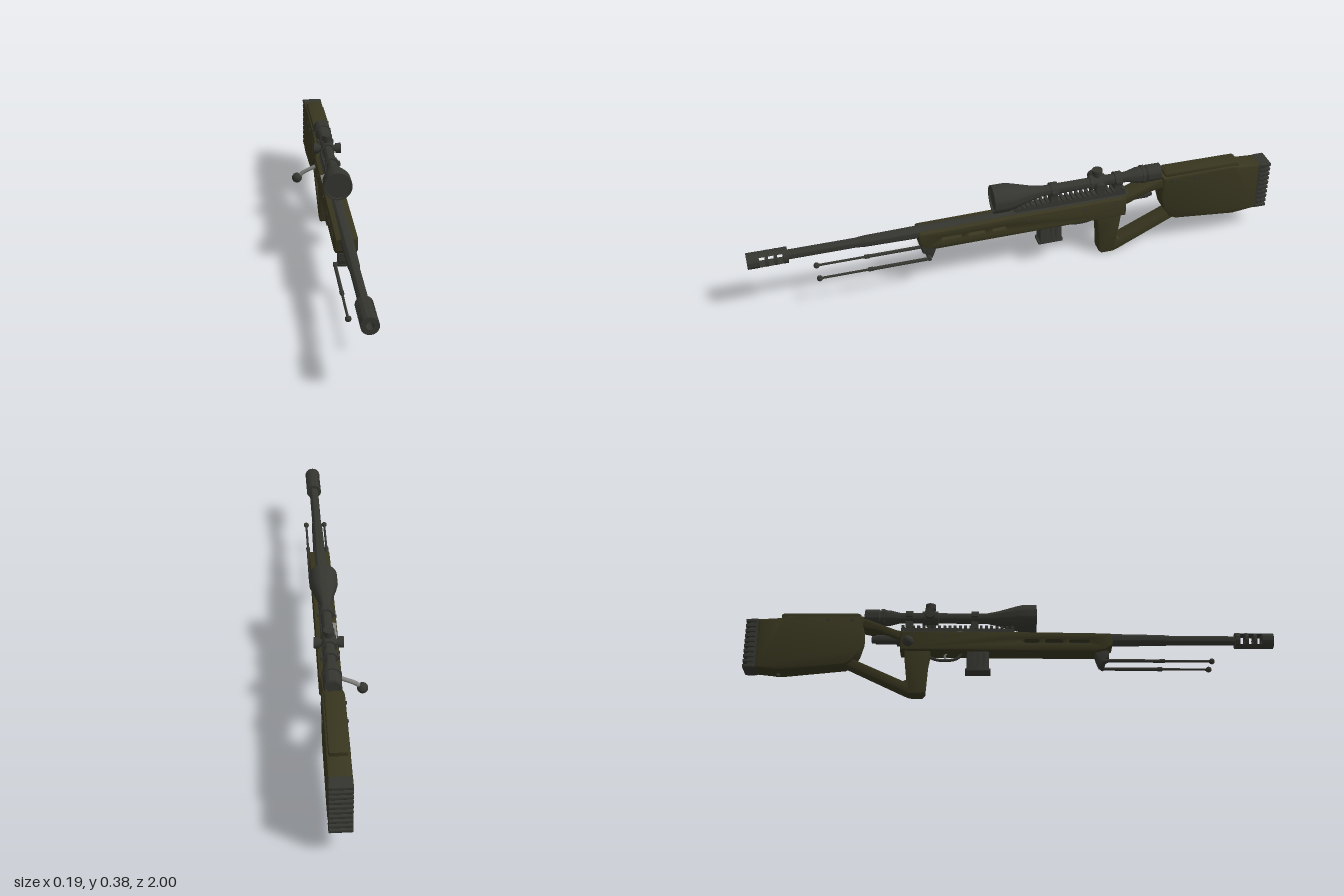
import * as THREE from 'three';
import { toCreasedNormals } from 'three/addons/utils/BufferGeometryUtils.js';
import { RoundedBoxGeometry } from 'three/addons/geometries/RoundedBoxGeometry.js';

const CX = 0.04; // centre plane of the rifle
const AXIS = 0.24; // bore height
const SCOPE = 0.328; // scope height

const olive = new THREE.MeshStandardMaterial({ color: 0x38361f });
olive.name = 'olive';
const metal = new THREE.MeshStandardMaterial({ color: 0x353530 });
metal.name = 'gunmetal';
const steel = new THREE.MeshStandardMaterial({ color: 0x80807e });
steel.name = 'steel';

export function createModel() {
  const root = new THREE.Group();

  const add = (name, geo, mat, x = 0, y = 0, z = 0) => {
    const m = new THREE.Mesh(geo, mat);
    m.name = name;
    m.position.set(x, y, z);
    root.add(m);
    return m;
  };
  const box = (name, mat, w, h, d, x, y, z, r = 0) =>
    add(name, r ? new RoundedBoxGeometry(w, h, d, 2, r) : new THREE.BoxGeometry(w, h, d), mat, x, y, z);

  // Turned part along z; points are [radius, z] from back to front
  const turned = (name, mat, pts, x, y, seg = 32) => {
    const g = new THREE.LatheGeometry(pts.map(p => new THREE.Vector2(...p)), seg);
    g.rotateX(Math.PI / 2);
    return add(name, toCreasedNormals(g, 0.6), mat, x, y);
  };
  const rod = (name, mat, r, z0, z1, x, y, seg = 24) =>
    turned(name, mat, [[0, z0], [r, z0], [r, z1], [0, z1]], x, y, seg);

  // Side profile of [z, y] points, extruded across x with a bevel
  const poly = pts => pts.map(p => new THREE.Vector2(...p));
  const side = (name, mat, pts, width, bevel = 0.005, holes = [], x = CX) => {
    const s = new THREE.Shape(poly(pts));
    for (const h of holes) s.holes.push(new THREE.Path(poly(h)));
    const g = new THREE.ExtrudeGeometry(s, {
      depth: width - 2 * bevel, bevelEnabled: bevel > 0, bevelThickness: bevel,
      bevelSize: bevel, bevelOffset: -bevel, bevelSegments: 2,
    });
    g.translate(0, 0, bevel - width / 2);
    g.rotateY(-Math.PI / 2);
    return add(name, toCreasedNormals(g, 0.5), mat, x);
  };

  // Barrel and receiver
  turned('barrel', metal, [[0, -0.1], [0.024, -0.1], [0.024, 0.36], [0.021, 0.58], [0.018, 0.61],
    [0.018, 0.86], [0, 0.86]], CX, AXIS);
  rod('receiver', metal, 0.028, -0.43, 0.02, CX, AXIS);
  rod('boltBody', metal, 0.018, -0.51, -0.42, CX, AXIS - 0.004);
  rod('boltCap', metal, 0.014, -0.525, -0.5, CX, AXIS - 0.004);

  // Muzzle brake: rings joined by top and bottom caps, open at the sides
  const ring = (z0, z1) => turned('muzzleRing', metal,
    [[0.013, z0], [0.03, z0], [0.03, z1], [0.013, z1], [0.013, z0]], CX, AXIS);
  [[0.855, 0.872], [0.893, 0.904], [0.925, 0.936], [0.957, 1]].forEach(r => ring(...r));
  for (const a of [Math.PI / 2, -Math.PI / 2]) {
    const cap = new THREE.Shape();
    cap.absarc(0, 0, 0.0295, a - 0.75, a + 0.75, false);
    cap.closePath();
    const g = new THREE.ExtrudeGeometry(cap, { depth: 0.11, bevelEnabled: false, curveSegments: 10 });
    add('muzzleCap', toCreasedNormals(g, 0.5), metal, CX, AXIS, 0.86);
  }

  // Chassis with cooling slots
  const slot = (z0, z1) => [[z0, 0.217], [z0 + 0.005, 0.211], [z1 - 0.005, 0.211], [z1, 0.217],
    [z1 - 0.005, 0.223], [z0 + 0.005, 0.223]];
  side('chassis', olive, [[-0.415, 0.178], [0.325, 0.176], [0.36, 0.185], [0.385, 0.205], [0.385, 0.246],
    [0.378, 0.252], [-0.02, 0.256], [-0.415, 0.256]], 0.08, 0.006,
  [slot(0.22, 0.3), slot(0.13, 0.2), slot(0.05, 0.11)]);
  const port = box('ejectionPort', steel, 0.018, 0.004, 0.1, 0.012, 0.2565, -0.15);
  port.rotation.z = 0.25;
  for (const z of [-0.37, -0.25, -0.03])
    for (const s of [-1, 1]) {
      const g = new THREE.CylinderGeometry(0.006, 0.006, 0.004, 12).rotateZ(Math.PI / 2);
      add('chassisScrew', g, metal, CX + s * 0.041, 0.235, z);
    }

  // Skeleton stock
  side('stockNeck', olive, [[-0.37, 0.25], [-0.42, 0.225], [-0.5, 0.26], [-0.57, 0.275], [-0.57, 0.312],
    [-0.54, 0.306], [-0.43, 0.262]], 0.07);
  side('grip', olive, [[-0.3, 0.185], [-0.31, 0.13], [-0.318, 0.014], [-0.328, 0.004], [-0.375, 0.004],
    [-0.395, 0.012], [-0.62, 0.122], [-0.62, 0.158], [-0.4, 0.056], [-0.388, 0.062], [-0.402, 0.185]], 0.056);
  side('buttStock', olive, [[-0.556, 0.318], [-0.555, 0.225], [-0.57, 0.17], [-0.598, 0.13], [-0.62, 0.118],
    [-0.86, 0.092], [-0.955, 0.102], [-0.955, 0.304], [-0.87, 0.31], [-0.85, 0.318]], 0.08, 0.01);
  side('cheekRest', olive, [[-0.57, 0.312], [-0.868, 0.308], [-0.868, 0.326], [-0.86, 0.331],
    [-0.58, 0.333], [-0.568, 0.328]], 0.064);
  for (const [z, y] of [[-0.69, 0.3], [-0.6, 0.3]]) {
    const g = new THREE.CylinderGeometry(0.006, 0.006, 0.088, 12).rotateZ(Math.PI / 2);
    add('stockPin', g, metal, CX, y, z);
  }
  add('slingStud', new THREE.CylinderGeometry(0.006, 0.008, 0.014, 12), metal, CX, 0.089, -0.87);

  // Ribbed butt pad
  box('buttPad', metal, 0.076, 0.204, 0.035, CX, 0.203, -0.9675, 0.005);
  for (let i = 0; i < 10; i++)
    box('padRib', metal, 0.08, 0.014, 0.042, CX, 0.109 + i * 0.0208, -0.979, 0.004);

  // Magazine and trigger
  side('magazine', metal, [[-0.08, 0.18], [-0.08, 0.11], [-0.074, 0.108], [-0.074, 0.098], [-0.17, 0.098],
    [-0.17, 0.108], [-0.164, 0.11], [-0.164, 0.18]], 0.052, 0.003);
  for (const z of [-0.1, -0.122, -0.144]) box('magazineRib', metal, 0.056, 0.055, 0.008, CX, 0.145, z);
  const path = pts => new THREE.CatmullRomCurve3(pts.map(p => new THREE.Vector3(...p)));
  add('triggerGuard', new THREE.TubeGeometry(path([[CX, 0.18, -0.185], [CX, 0.16, -0.2], [CX, 0.151, -0.235],
    [CX, 0.153, -0.275], [CX, 0.165, -0.31]]), 20, 0.006, 8), metal);
  add('trigger', new THREE.TubeGeometry(path([[CX, 0.18, -0.24], [CX, 0.168, -0.248], [CX, 0.158, -0.243]]),
    10, 0.004, 8), steel);

  // Bolt handle
  add('boltHandle', new THREE.TubeGeometry(path([[0.02, 0.235, -0.38], [-0.01, 0.22, -0.38],
    [-0.05, 0.2, -0.38], [-0.07, 0.182, -0.38]]), 16, 0.008, 12), steel);
  add('boltKnob', new THREE.SphereGeometry(0.02, 24, 16), metal, -0.075, 0.178, -0.38);

  // Rail with teeth
  box('railBase', metal, 0.036, 0.02, 0.43, CX, 0.268, -0.2);
  for (let i = 0; i < 22; i++) box('railTooth', metal, 0.042, 0.01, 0.011, CX, 0.283, 0.008 - i * 0.0198);

  // Scope
  turned('scopeBody', metal, [[0, -0.548], [0.024, -0.548], [0.026, -0.555], [0.032, -0.553], [0.032, -0.5],
    [0.028, -0.495], [0.03, -0.485], [0.03, -0.46], [0.02, -0.42], [0.02, -0.09], [0.029, -0.045],
    [0.047, 0.02], [0.053, 0.045], [0.053, 0.1], [0.047, 0.1], [0.046, 0.093], [0, 0.093]], CX, SCOPE, 40);
  rod('zoomRing', metal, 0.034, -0.492, -0.478, CX, SCOPE);
  for (const z of [-0.135, -0.385]) {
    rod('scopeRing', metal, 0.027, z - 0.014, z + 0.014, CX, SCOPE);
    box('ringFoot', metal, 0.036, 0.04, 0.028, CX, 0.296, z);
    for (const s of [-1, 1]) box('ringClamp', metal, 0.012, 0.014, 0.026, CX + s * 0.027, SCOPE, z, 0.002);
  }
  rod('turretHousing', metal, 0.027, -0.335, -0.275, CX, SCOPE);
  const knob = new THREE.CylinderGeometry(0.02, 0.02, 0.02, 24);
  const stem = new THREE.CylinderGeometry(0.013, 0.013, 0.03, 20);
  add('topTurretStem', stem, metal, CX, SCOPE + 0.03, -0.305);
  add('topTurret', knob, metal, CX, SCOPE + 0.045, -0.305);
  for (const s of [-1, 1]) {
    add('sideTurretStem', stem, metal, CX + s * 0.03, SCOPE, -0.305).rotation.z = Math.PI / 2;
    add('sideTurret', knob, metal, CX + s * 0.043, SCOPE, -0.305).rotation.z = Math.PI / 2;
  }

  // Folded bipod
  side('bipodMount', metal, [[0.318, 0.18], [0.325, 0.155], [0.335, 0.13], [0.355, 0.13], [0.36, 0.15],
    [0.372, 0.158], [0.372, 0.186]], 0.056, 0.003);
  const hinge = new THREE.CylinderGeometry(0.008, 0.008, 0.088, 12).rotateZ(Math.PI / 2);
  add('bipodHinge', hinge, metal, CX, 0.138, 0.35);
  for (const x of [0.002, 0.078]) {
    rod('bipodSleeve', metal, 0.0065, 0.345, 0.57, x, 0.137, 12);
    rod('bipodLeg', metal, 0.0045, 0.56, 0.755, x, 0.137, 12);
    rod('bipodCollar', metal, 0.008, 0.56, 0.578, x, 0.137, 12);
    add('bipodFoot', new THREE.SphereGeometry(0.011, 16, 12), metal, x, 0.137, 0.755);
  }

  return root;
}
